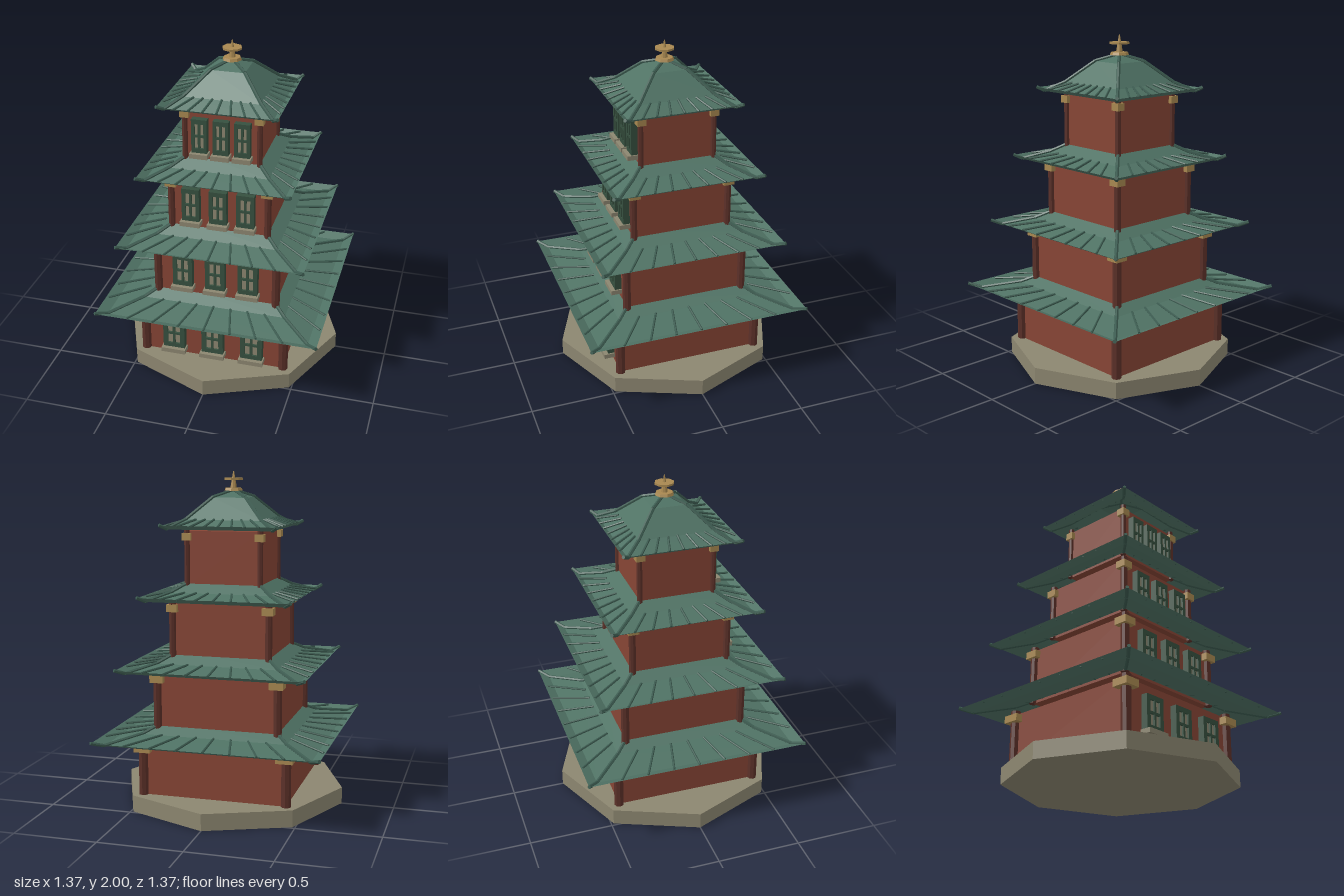
import * as THREE from 'three';

const mat = (name, color, side = THREE.FrontSide) => {
  const m = new THREE.MeshStandardMaterial({ color, side });
  m.name = name;
  return m;
};

const M = {
  stone: mat('stone', 0x8c8670),
  wall: mat('red wall', 0x874535),
  column: mat('dark red timber', 0x5c3129),
  roof: mat('green tile', 0x4f7264, THREE.DoubleSide),
  ridge: mat('dark green tile', 0x3c5b50),
  frame: mat('window green', 0x36503f),
  gold: mat('gold', 0xa88850),
};

// Gives every face its own flat normal
function flat(geometry) {
  const g = geometry.index ? geometry.toNonIndexed() : geometry;
  g.computeVertexNormals();
  return g;
}

function add(parent, name, geometry, material, x = 0, y = 0, z = 0) {
  const mesh = new THREE.Mesh(geometry, material);
  mesh.name = name;
  mesh.position.set(x, y, z);
  parent.add(mesh);
  return mesh;
}

const box = (w, h, d) => new THREE.BoxGeometry(w, h, d);
const drum = (top, bottom, h, sides = 8) => flat(new THREE.CylinderGeometry(top, bottom, h, sides));

// Round rod between two points
function rod(parent, name, a, b, radius, material) {
  const dir = b.clone().sub(a);
  const mesh = add(parent, name, drum(radius, radius, dir.length(), 6), material);
  mesh.position.copy(a).add(b).multiplyScalar(0.5);
  mesh.quaternion.setFromUnitVectors(new THREE.Vector3(0, 1, 0), dir.normalize());
}

// Square roof with a turned-up eave, hip ridges and tile ribs
function makeRoof(profile) {
  const roof = new THREE.Group();
  roof.name = 'roof';
  const points = profile.map(([r, y]) => new THREE.Vector2(r * Math.SQRT2, y));
  add(roof, 'roofTiles', flat(new THREE.LatheGeometry(points, 4, Math.PI / 4)), M.roof);

  const [eave, , bend] = profile;
  for (let side = 0; side < 4; side++) {
    const quarter = new THREE.Group();
    quarter.name = 'roofSide';
    quarter.rotation.y = side * Math.PI / 2;
    roof.add(quarter);
    for (let i = 0; i < profile.length - 1; i++) {
      const [r0, y0] = profile[i], [r1, y1] = profile[i + 1];
      rod(quarter, 'hipRidge', new THREE.Vector3(r0, y0 + 0.003, r0),
        new THREE.Vector3(r1, y1 + 0.003, r1), 0.011, M.ridge);
    }
    for (let k = -3; k <= 3; k++) {
      const rOut = eave[0] * 0.98, rIn = bend[0];
      rod(quarter, 'tileRib', new THREE.Vector3(rOut * 0.24 * k, eave[1] - 0.004, rOut),
        new THREE.Vector3(rIn * 0.24 * k, bend[1] + 0.003, rIn), 0.007, M.ridge);
    }
  }
  return roof;
}

// Window with four panes and a stone sill, its back on z = 0
function makeWindow(w, h) {
  const win = new THREE.Group();
  win.name = 'window';
  const rect = (path, x0, y0, x1, y1) => {
    path.moveTo(x0, y0);
    path.lineTo(x1, y0);
    path.lineTo(x1, y1);
    path.lineTo(x0, y1);
    path.closePath();
    return path;
  };
  const shape = rect(new THREE.Shape(), -w / 2, 0, w / 2, h);
  const edge = w * 0.29, bar = 0.007, rim = 0.028;
  for (const [x0, x1] of [[-edge, -bar], [bar, edge]]) {
    shape.holes.push(rect(new THREE.Path(), x0, rim, x1, h / 2 - bar));
    shape.holes.push(rect(new THREE.Path(), x0, h / 2 + bar, x1, h - rim));
  }
  add(win, 'windowFrame', new THREE.ExtrudeGeometry(shape, { depth: 0.04, bevelEnabled: false }), M.frame);
  add(win, 'windowPanes', box(edge * 2 + 0.01, h - 0.04, 0.028), M.stone, 0, h / 2, 0.014);
  add(win, 'windowSill', box(w + 0.016, 0.028, 0.065), M.stone, 0, -0.014, 0.0325);
  return win;
}

// half: wall half-width, y0/y1: wall bottom and top, post: column radius,
// cap: bracket width, win: spacing, width, bottom and height of the windows
const storeys = [
  { half: 0.434, y0: 0.1, y1: 0.42, post: 0.029, cap: 0.1, win: [0.243, 0.135, 0.156, 0.2],
    roof: [[0.67, 0.453], [0.61, 0.428], [0.435, 0.468], [0.33, 0.525]] },
  { half: 0.365, y0: 0.49, y1: 0.828, post: 0.025, cap: 0.082, win: [0.2, 0.12, 0.57, 0.205],
    roof: [[0.56, 0.865], [0.51, 0.84], [0.365, 0.882], [0.26, 0.945]] },
  { half: 0.292, y0: 0.91, y1: 1.24, post: 0.021, cap: 0.066, win: [0.165, 0.106, 0.98, 0.208],
    roof: [[0.455, 1.278], [0.415, 1.253], [0.297, 1.297], [0.19, 1.365]] },
  { half: 0.222, y0: 1.33, y1: 1.655, post: 0.017, cap: 0.053, win: [0.127, 0.092, 1.395, 0.207],
    roof: [[0.35, 1.69], [0.315, 1.667], [0.227, 1.72], [0.1, 1.845], [0, 1.885]] },
];

export function createModel() {
  const model = new THREE.Group();
  model.name = 'pagoda';

  // Octagonal plinth
  add(model, 'plinth', drum(0.685, 0.685, 0.1), M.stone, 0, 0.05, 0);

  storeys.forEach((s, i) => {
    const storey = new THREE.Group();
    storey.name = `storey${i + 1}`;
    model.add(storey);

    const h = s.y1 - s.y0;
    add(storey, 'walls', box(s.half * 2, h, s.half * 2), M.wall, 0, s.y0 + h / 2, 0);

    // Corner columns with brackets
    for (const sx of [-1, 1]) for (const sz of [-1, 1]) {
      const x = sx * s.half, z = sz * s.half, ph = h + 0.018;
      add(storey, 'column', drum(s.post, s.post, ph), M.column, x, s.y0 + ph / 2, z);
      add(storey, 'bracket', box(s.cap, 0.043, s.cap), M.gold, x * 0.99, s.y1 - 0.034, z * 0.99);
    }

    // Three windows on the front
    const [step, w, y, wh] = s.win;
    for (const k of [-1, 0, 1]) {
      const win = makeWindow(w, wh);
      win.position.set(k * step, y, s.half);
      storey.add(win);
    }

    storey.add(makeRoof(s.roof));
  });

  // Finial
  const finial = new THREE.Group();
  finial.name = 'finial';
  model.add(finial);
  add(finial, 'finialBase', drum(0.05, 0.057, 0.016), M.gold, 0, 1.892, 0);
  add(finial, 'finialStem', drum(0.011, 0.021, 0.06), M.gold, 0, 1.925, 0);
  add(finial, 'finialDisc', drum(0.058, 0.058, 0.012), M.gold, 0, 1.953, 0);
  add(finial, 'finialSpike', drum(0.003, 0.011, 0.045), M.gold, 0, 1.9775, 0);

  return model;
}
